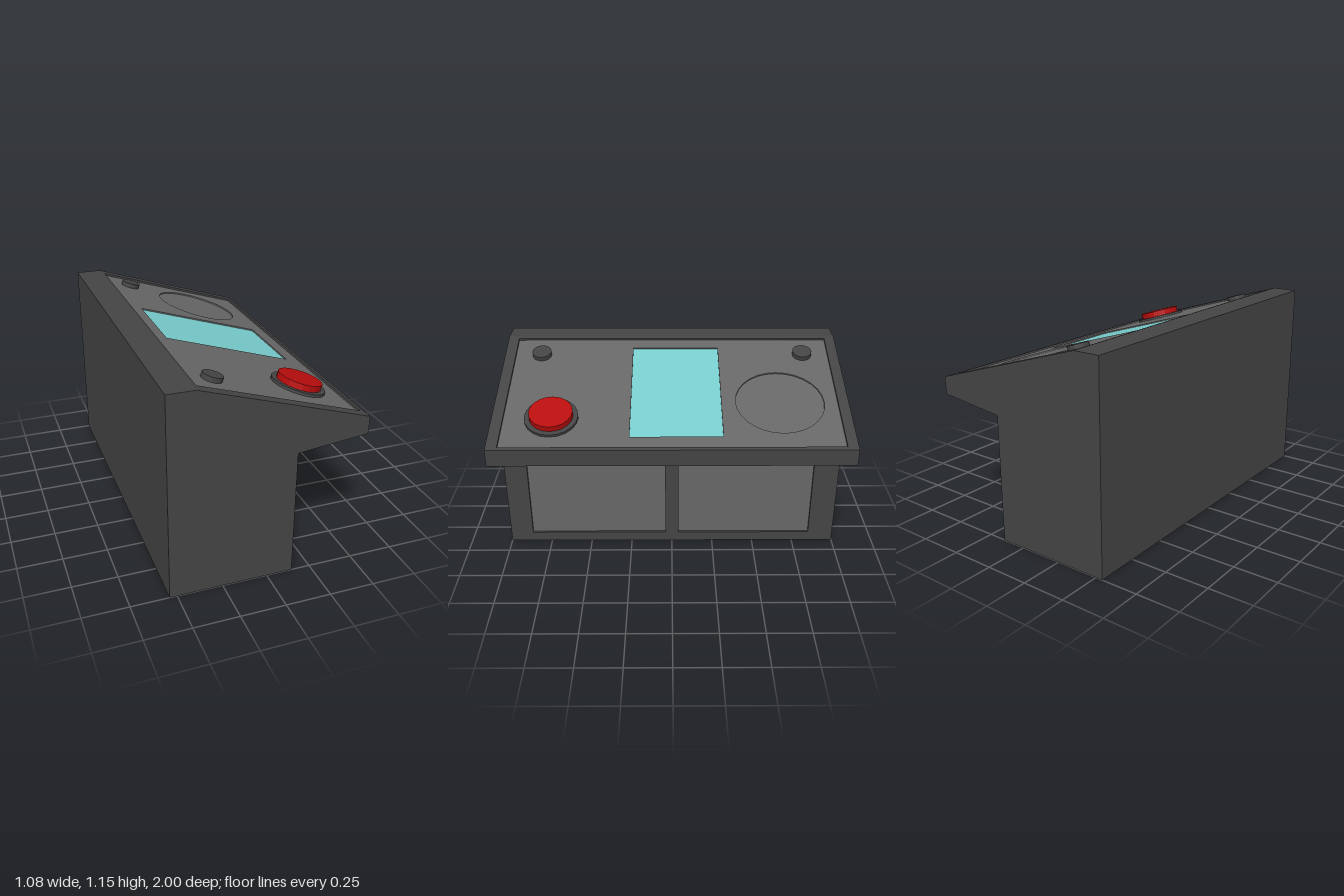
import * as THREE from 'three';
import { mergeGeometries } from 'three/addons/utils/BufferGeometryUtils.js';

const V2 = (x, y) => new THREE.Vector2(x, y);
const rect = (u0, u1, v0, v1) => [V2(u0, v0), V2(u1, v0), V2(u1, v1), V2(u0, v1)];
const circle = (u, v, r, n) => Array.from({ length: n }, (_, i) => {
  const a = (i / n) * Math.PI * 2;
  return V2(u + r * Math.cos(a), v + r * Math.sin(a));
});

// Flat face from an outline with optional holes, at height n
function face(outline, holes = [], n = 0) {
  const shape = new THREE.Shape(outline);
  shape.holes = holes.map((h) => new THREE.Path(h));
  const g = new THREE.ShapeGeometry(shape).toNonIndexed();
  g.deleteAttribute('uv');
  return g.translate(0, 0, n);
}

// Inward-facing walls of a recess running from height top down to bottom
function walls(loop, top, bottom) {
  const pos = [];
  loop.forEach((p, i) => {
    const q = loop[(i + 1) % loop.length];
    pos.push(p.x, p.y, top, q.x, q.y, top, q.x, q.y, bottom);
    pos.push(p.x, p.y, top, q.x, q.y, bottom, p.x, p.y, bottom);
  });
  const g = new THREE.BufferGeometry();
  g.setAttribute('position', new THREE.Float32BufferAttribute(pos, 3));
  g.computeVertexNormals();
  return g;
}

// Frame of a profile edge: u along the edge, v along z, n outward
function edgeFrame(a, b) {
  const d = b.clone().sub(a).normalize();
  return new THREE.Matrix4().makeBasis(
    new THREE.Vector3(d.x, d.y, 0), new THREE.Vector3(0, 0, 1), new THREE.Vector3(d.y, -d.x, 0),
  ).setPosition(a.x, a.y, 0);
}

export function createModel() {
  const mat = (name, color) => {
    const m = new THREE.MeshStandardMaterial({ color });
    m.name = name;
    return m;
  };
  const dark = mat('dark grey casing', 0x444444);
  const grey = mat('panel grey', 0x666666);
  const cyan = mat('screen cyan', 0x78cccc);
  const red = mat('button red', 0xb80c0c);

  const model = new THREE.Group();
  model.name = 'controlConsole';
  const add = (parent, name, geometry, material) => {
    const m = new THREE.Mesh(geometry, material);
    m.name = name;
    parent.add(m);
    return m;
  };

  // Side profile of the casing, counter-clockwise
  const profile = [
    V2(-0.54, 0), V2(0.145, 0), V2(0.145, 0.72), V2(0.535, 0.762),
    V2(0.538, 0.86), V2(-0.39, 1.152), V2(-0.54, 1.152),
  ];
  const FRONT = 1, SLOPE = 4;
  const panelDepth = 0.012, doorDepth = 0.015, sunk = 0.008;
  const panel = rect(0.024, 0.952, -0.94, 0.937);
  const doors = [rect(0.06, 0.665, 0.04, 0.865), rect(0.06, 0.665, -0.85, -0.04)];
  const recesses = { [FRONT]: [doors, doorDepth], [SLOPE]: [[panel], panelDepth] };

  // Casing: two side faces plus one face per profile edge, with recess openings
  const parts = [face(profile, [], 1), face(profile).rotateY(Math.PI).scale(1, 1, 1)];
  parts[1] = face(profile.map((p) => V2(-p.x, p.y))).rotateY(Math.PI).translate(0, 0, -1);
  const frames = profile.map((a, i) => {
    const b = profile[(i + 1) % profile.length];
    const frame = edgeFrame(a, b);
    const [holes, depth] = recesses[i] || [[], 0];
    parts.push(face(rect(0, a.distanceTo(b), -1, 1), holes).applyMatrix4(frame));
    holes.forEach((h) => parts.push(walls(h, 0, -depth).applyMatrix4(frame)));
    return frame;
  });
  add(model, 'casing', mergeGeometries(parts), dark);

  // Doors set into the front
  doors.forEach((d, i) => add(model, i ? 'rightDoor' : 'leftDoor',
    face(d, [], -doorDepth).applyMatrix4(frames[FRONT]), grey));

  // Sloped control panel, laid out in its own frame
  const top = new THREE.Group();
  top.name = 'controlPanel';
  top.applyMatrix4(frames[SLOPE]);
  model.add(top);

  const floor = -panelDepth;
  const screen = rect(0.113, 0.873, -0.28, 0.232);
  const dish = circle(0.391, -0.613, 0.252, 28);
  add(top, 'panelPlate', mergeGeometries([
    face(panel, [screen, dish], floor),
    walls(screen, floor, floor - sunk),
    walls(dish, floor, floor - sunk),
    face(dish, [], floor - sunk),
  ]), grey);
  add(top, 'screen', face(screen, [], floor - sunk), cyan);

  // Faceted discs standing on the panel
  const disc = (name, u, v, r, from, to, sides, material) => {
    const g = new THREE.CylinderGeometry(r, r, to - from, sides).rotateX(Math.PI / 2).toNonIndexed();
    g.computeVertexNormals();
    add(top, name, g, material).position.set(u, v, (from + to) / 2);
  };
  disc('buttonBase', 0.261, 0.67, 0.15, floor, 0.003, 20, dark);
  disc('redButton', 0.261, 0.67, 0.122, 0, 0.037, 20, red);
  disc('leftKnob', 0.81, 0.78, 0.057, floor, 0.015, 16, dark);
  disc('rightKnob', 0.81, -0.785, 0.057, floor, 0.015, 16, dark);

  return model;
}
